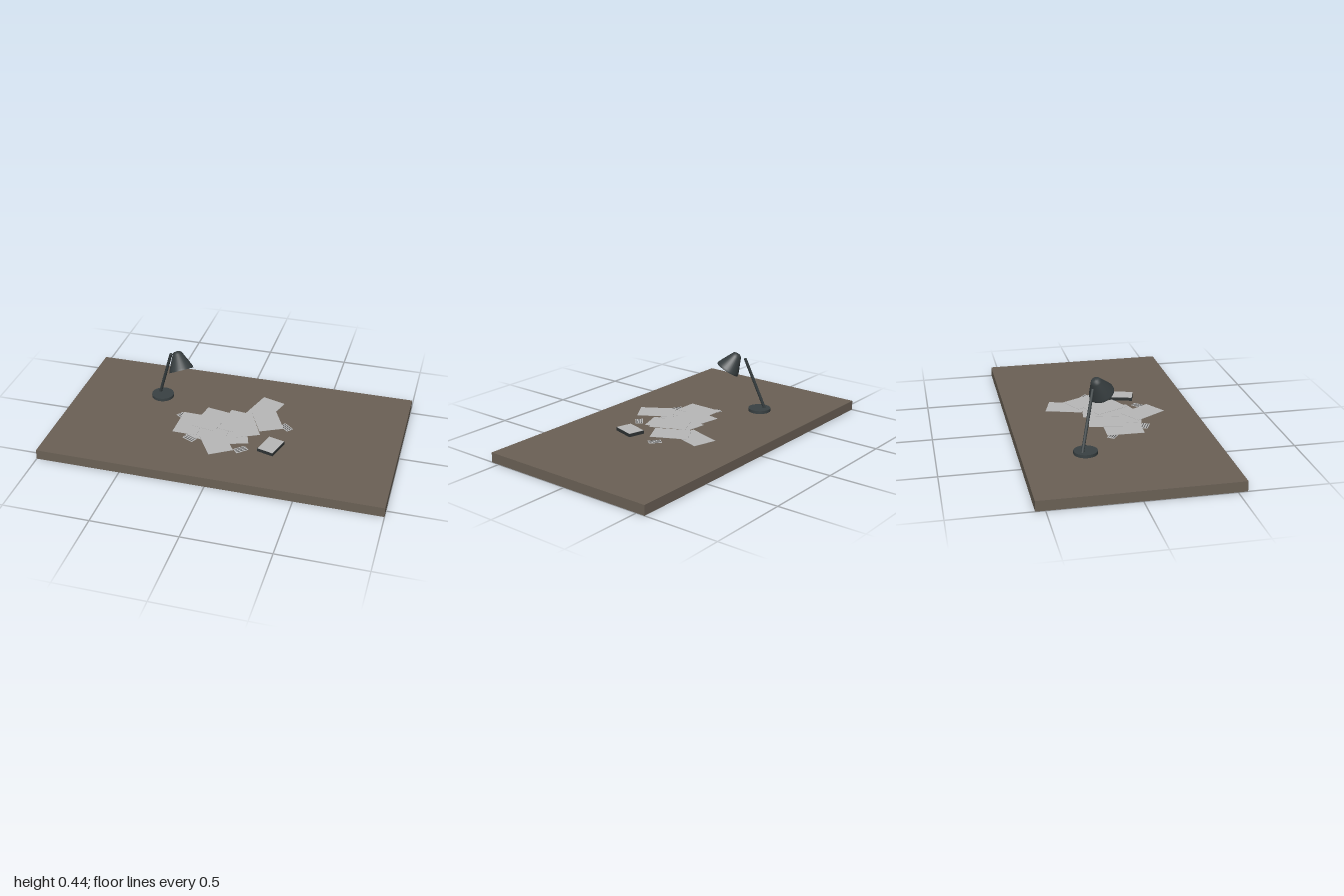
import * as THREE from 'three';

const mat = (name, color) => {
  const m = new THREE.MeshStandardMaterial({ color });
  m.name = name;
  return m;
};

export function createModel() {
  const root = new THREE.Group();
  root.name = 'deskTop';
  const wood = mat('brown wood', 0x6b6156);
  const metal = mat('dark metal', 0x394143);
  const paper = mat('paper', 0xb8b8b8);
  const ink = mat('ink', 0x4a4a4a);
  const cover = mat('notepad cover', 0x2e3233);
  const shadeMetal = mat('shade metal', 0x363d3f);
  shadeMetal.side = THREE.DoubleSide;

  const add = (parent, name, geometry, material, x = 0, y = 0, z = 0) => {
    const m = new THREE.Mesh(geometry, material);
    m.name = name;
    m.position.set(x, y, z);
    parent.add(m);
    return m;
  };
  const rad = THREE.MathUtils.degToRad;
  const up = new THREE.Vector3(0, 1, 0);

  // Table slab
  const top = 0.058;
  add(root, 'tableSlab', new THREE.BoxGeometry(2, top, 1.106), wood, 0, top / 2, 0);

  // Desk lamp: round foot, leaning pole and tilted shade
  const lamp = new THREE.Group();
  lamp.name = 'lamp';
  root.add(lamp);
  add(lamp, 'lampFoot', new THREE.CylinderGeometry(0.067, 0.067, 0.018, 32), metal, -0.488, top + 0.009, -0.2);

  const a = new THREE.Vector3(-0.512, 0.07, -0.222);
  const b = new THREE.Vector3(-0.408, 0.397, -0.143);
  const pole = add(lamp, 'lampPole', new THREE.CylinderGeometry(0.009, 0.009, a.distanceTo(b), 12), metal);
  pole.position.copy(a).lerp(b, 0.5);
  pole.quaternion.setFromUnitVectors(up, b.clone().sub(a).normalize());

  const mouth = new THREE.Vector3(-0.322, 0.336, -0.076);
  const crown = new THREE.Vector3(-0.364, 0.434, -0.122);
  const h = mouth.distanceTo(crown);
  const profile = [[0.072, 0], [0.071, 0.012], [0.032, h - 0.02], [0.026, h - 0.008], [0.016, h - 0.002], [0, h]];
  const shade = add(lamp, 'lampShade',
    new THREE.LatheGeometry(profile.map(p => new THREE.Vector2(...p)), 32), shadeMetal);
  shade.position.copy(mouth);
  shade.quaternion.setFromUnitVectors(up, crown.clone().sub(mouth).normalize());

  // Loose sheets: x, height, z, turn in degrees
  const sheets = new THREE.Group();
  sheets.name = 'papers';
  root.add(sheets);
  const sheetGeo = new THREE.BoxGeometry(0.145, 0.0015, 0.215);
  [
    [-0.13, 0.062, 0.09, 12],
    [0.05, 0.064, 0.09, -18],
    [-0.06, 0.067, 0.07, 4],
    [-0.23, 0.070, 0.07, 1],
    [0.16, 0.073, -0.20, 17],
    [-0.12, 0.075, 0.0, 10],
    [0.205, 0.081, -0.07, -27],
    [0.03, 0.078, -0.01, 7],
    [0.09, 0.083, 0.03, -26],
    [-0.027, 0.081, 0.23, -32],
  ].forEach(([x, y, z, turn], i) => {
    const s = add(sheets, 'sheet' + (i + 1), sheetGeo, paper, x, y, z);
    s.rotation.y = -rad(turn);
  });

  // Small printed cards with ruled lines
  const cardGeo = new THREE.BoxGeometry(0.075, 0.0015, 0.045);
  const lineGeo = new THREE.BoxGeometry(0.066, 0.001, 0.004);
  [
    [0.325, 0.063, -0.05, 40],
    [0.125, 0.063, 0.24, -42],
    [-0.19, 0.062, 0.205, 25],
    [-0.295, 0.063, -0.005, 35],
  ].forEach(([x, y, z, turn], i) => {
    const card = new THREE.Group();
    card.name = 'card' + (i + 1);
    card.position.set(x, y, z);
    card.rotation.y = -rad(turn);
    add(card, 'cardSheet', cardGeo, paper);
    for (const dz of [-0.013, 0, 0.013]) add(card, 'cardLine', lineGeo, ink, 0, 0.0011, dz);
    root.add(card);
  });

  // Notepad with dark body and pale top page
  const pad = new THREE.Group();
  pad.name = 'notepad';
  pad.position.set(0.285, top, 0.17);
  pad.rotation.y = -rad(16);
  add(pad, 'padBody', new THREE.BoxGeometry(0.1, 0.019, 0.14), cover, 0, 0.0095, 0);
  add(pad, 'padPage', new THREE.BoxGeometry(0.097, 0.002, 0.137), paper, 0, 0.0195, 0);
  root.add(pad);

  return root;
}
